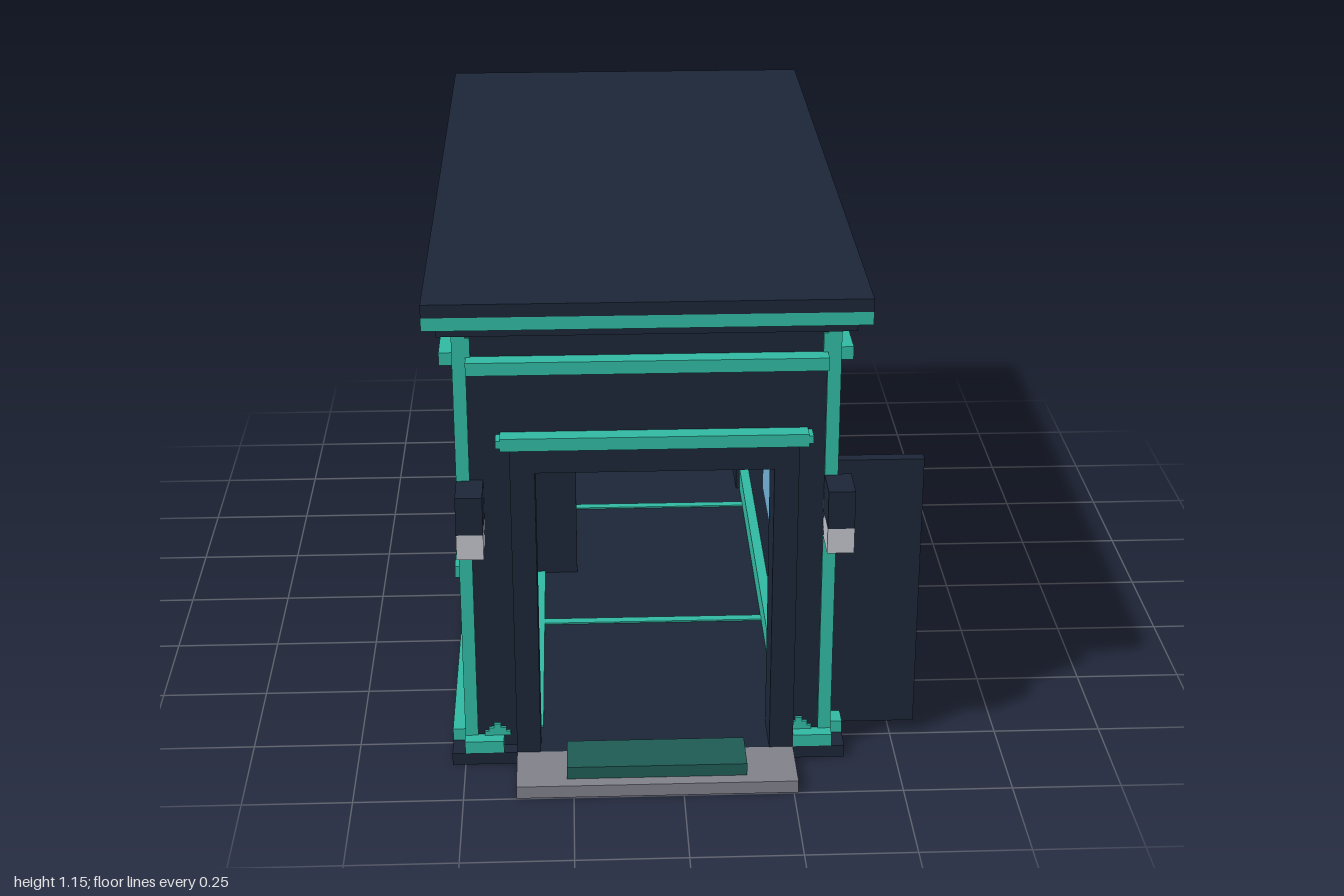
import * as THREE from 'three';

export function createModel() {
  const model = new THREE.Group();
  const mat = (name, color) => {
    const m = new THREE.MeshStandardMaterial({ color });
    m.name = name;
    return m;
  };
  const navy = mat('navy panel', 0x1b2637);
  const green = mat('green trim', 0x31b9a2);
  const mint = mat('dark green mat', 0x1f5b54);
  const silver = mat('light grey', 0xbfc2c9);
  const grey = mat('mid grey', 0x80808a);
  const glass = mat('blue glass', 0x74b2da);

  // Box given by its limits on each axis
  const box = (name, m, x0, x1, y0, y1, z0, z1) => {
    const mesh = new THREE.Mesh(new THREE.BoxGeometry(x1 - x0, y1 - y0, z1 - z0), m);
    mesh.position.set((x0 + x1) / 2, (y0 + y1) / 2, (z0 + z1) / 2);
    mesh.name = name;
    model.add(mesh);
  };
  // Rectangular frame of four bars, t wide
  const ring = (name, m, x0, x1, y0, y1, z0, z1, t) => {
    box(name, m, x0, x0 + t, y0, y1, z0, z1);
    box(name, m, x1 - t, x1, y0, y1, z0, z1);
    box(name, m, x0 + t, x1 - t, y0, y1, z0, z0 + t);
    box(name, m, x0 + t, x1 - t, y0, y1, z1 - t, z1);
  };
  const CX = -0.075; // middle of the building
  // Same box on both sides of the building; a and b are distances from its middle
  const pair = (name, m, a, b, y0, y1, z0, z1) => {
    box(name, m, CX + a, CX + b, y0, y1, z0, z1);
    box(name, m, CX - b, CX - a, y0, y1, z0, z1);
  };

  // Hollow base rim, its top ledge and the floor with inlaid lines
  ring('base', navy, -0.53, 0.38, 0, 0.03, -0.97, 0.85, 0.012);
  ring('baseLedge', navy, -0.53, 0.38, 0.02, 0.03, -0.97, 0.85, 0.1);
  box('floor', navy, -0.44, 0.29, 0.016, 0.03, -0.88, 0.76);
  box('floorLine', green, -0.345, -0.32, 0.012, 0.034, -0.86, 0.74);
  for (const z of [-0.46, 0.22]) box('floorLine', green, -0.41, 0.26, 0.012, 0.034, z - 0.012, z + 0.012);

  // Side walls with arched window slots; shape x runs along z
  const groups = [[0.032, 0.476], [-0.556, -0.112]];
  const wallShape = new THREE.Shape([[-0.935, 0.03], [0.815, 0.03], [0.815, 1.07], [-0.935, 1.07]]
    .map(p => new THREE.Vector2(...p)));
  for (const [start] of groups) {
    for (let i = 0; i < 4; i++) {
      const a = start + i * 0.1177, b = a + 0.091, c = 0.012;
      wallShape.holes.push(new THREE.Path([[a, 0.32], [a, 0.915 - c], [a + c, 0.915],
        [b - c, 0.915], [b, 0.915 - c], [b, 0.32]].map(p => new THREE.Vector2(...p))));
    }
  }
  const wallGeo = new THREE.ExtrudeGeometry(wallShape, { depth: 0.085, bevelEnabled: false });
  wallGeo.rotateY(-Math.PI / 2); // thickness runs towards -x
  for (const x of [0.345, -0.41]) {
    const wall = new THREE.Mesh(wallGeo, navy);
    wall.position.x = x;
    wall.name = 'sideWall';
    model.add(wall);
  }
  for (const [a, b] of groups) {
    pair('windowGlass', glass, 0.325, 0.393, 0.31, 0.925, a - 0.005, b + 0.005);
    pair('windowSill', green, 0.415, 0.455, 0.295, 0.325, a - 0.025, b);
  }

  // Back wall, and front wall with a doorway
  box('backWall', navy, -0.41, 0.26, 0.03, 1.07, -0.935, -0.85);
  box('frontWall', navy, -0.41, -0.325, 0.03, 1.07, 0.73, 0.815);
  box('frontWall', navy, 0.205, 0.26, 0.03, 1.07, 0.73, 0.815);
  box('frontWall', navy, -0.325, 0.205, 0.74, 1.07, 0.73, 0.815);

  // Door frame, lintel and open door
  box('doorFrame', navy, -0.38, -0.325, 0.03, 0.795, 0.8, 0.85);
  box('doorFrame', navy, 0.205, 0.26, 0.03, 0.795, 0.8, 0.85);
  box('doorFrame', navy, -0.325, 0.205, 0.74, 0.795, 0.8, 0.85);
  box('doorLintel', green, -0.40, 0.28, 0.795, 0.825, 0.8, 0.855);
  box('doorLintelCap', green, -0.41, 0.29, 0.802, 0.82, 0.8, 0.853);
  box('doorLeaf', navy, 0.32, 0.555, 0.03, 0.71, 0.714, 0.742);

  // Doorstep and mat, the mat showing through underneath
  box('doorstep', grey, -0.38, 0.26, 0, 0.03, 0.85, 1);
  box('doormat', mint, -0.265, 0.145, 0.03, 0.06, 0.855, 0.97);
  box('doormatUnderside', mint, -0.265, 0.145, -0.001, 0.005, 0.865, 0.97);

  // Corner posts with stepped feet and brackets
  for (const [z, s] of [[0.79, 1], [-0.91, -1]]) {
    const span = (near, far) => [z + s * near, z + s * far].sort((p, q) => p - q);
    pair('cornerPost', green, 0.395, 0.425, 0.03, 1.065, ...span(0, 0.03));
    pair('postFoot', green, 0.32, 0.38, 0.06, 0.07, ...span(0, 0.032));
    pair('postFoot', green, 0.33, 0.37, 0.07, 0.08, ...span(0, 0.032));
    pair('postFoot', green, 0.342, 0.358, 0.08, 0.09, ...span(0, 0.032));
    pair('postBracket', green, 0.385, 0.395, 0.97, 1.05, ...span(0, 0.03));
    pair('postFootSide', green, 0.41, 0.428, 0.06, 0.075, ...span(-0.065, -0.025));
    pair('postFootSide', green, 0.41, 0.428, 0.075, 0.09, ...span(-0.055, -0.035));
  }

  // Skirting outside, and inside around the floor
  pair('lowerTrim', green, 0.41, 0.455, 0.03, 0.06, -0.91, 0.79);
  pair('lowerTrimFront', green, 0.335, 0.425, 0.03, 0.06, 0.8, 0.85);
  box('lowerTrimBack', green, -0.47, 0.32, 0.03, 0.06, -0.945, -0.92);
  pair('innerSkirting', green, 0.31, 0.365, 0, 0.09, -0.88, 0.73);
  box('innerSkirtingBack', green, -0.385, 0.235, 0, 0.09, -0.88, -0.825);

  // Upper bands between the posts
  pair('upperBand', green, 0.41, 0.455, 0.975, 1.005, -0.91, 0.79);
  box('upperBandFront', green, -0.47, 0.32, 0.975, 1.005, 0.8, 0.855);
  box('upperBandBack', green, -0.47, 0.32, 0.975, 1.005, -0.97, -0.92);

  // Cornice and flat roof
  box('cornice', navy, -0.53, 0.38, 1.065, 1.09, -0.97, 0.85);
  box('roofEdge', green, -0.56, 0.41, 1.09, 1.12, -1, 0.88);
  box('roof', navy, -0.56, 0.41, 1.12, 1.15, -1, 0.88);

  // Wall lamps
  for (const x of [-0.5, 0.32]) {
    box('lampHood', navy, x, x + 0.06, 0.62, 0.71, 0.815, 0.91);
    box('lampGlass', silver, x, x + 0.06, 0.56, 0.62, 0.825, 0.91);
  }

  // Cabinet on the right-hand wall
  box('cabinet', navy, -0.395, -0.235, 0.03, 0.62, -0.35, -0.06);

  // Desk with back panel
  box('deskTop', silver, -0.41, 0.26, 0.235, 0.27, -0.82, -0.55);
  for (const x of [-0.4, 0.225]) box('deskLeg', navy, x, x + 0.03, 0.03, 0.235, -0.8, -0.57);
  box('deskPanel', navy, -0.41, 0.26, 0.27, 0.385, -0.85, -0.78);
  box('deskPanelTop', navy, -0.15, 0.03, 0.385, 0.445, -0.85, -0.78);

  // Screens with green tabs and grey knobs, and a cup
  for (const [x0, x1] of [[-0.295, -0.18], [-0.12, -0.005], [0.055, 0.175]]) {
    box('screen', green, x0, x1, 0.355, 0.385, -0.78, -0.75);
  }
  for (const x of [-0.115, 0.145]) box('screenTab', green, x, x + 0.025, 0.33, 0.355, -0.78, -0.75);
  for (const x of [-0.208, -0.085, 0.058]) box('greyKnob', grey, x, x + 0.026, 0.33, 0.36, -0.78, -0.745);
  for (const x of [-0.03, 0.085]) box('lightKnob', silver, x, x + 0.028, 0.33, 0.36, -0.78, -0.745);
  box('cup', silver, 0.085, 0.145, 0.27, 0.295, -0.72, -0.66);

  return model;
}
